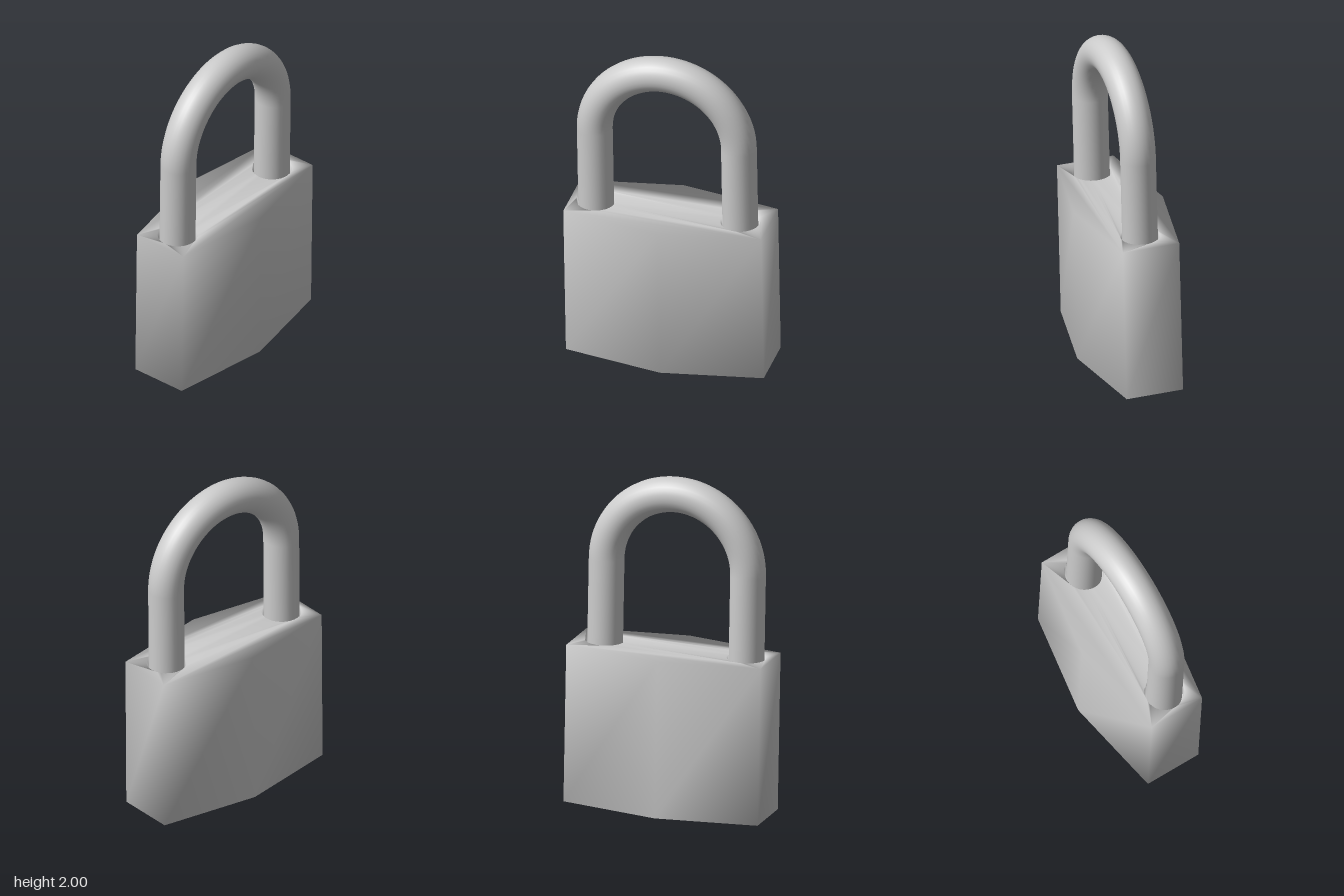
import * as THREE from 'three';
import { mergeGeometries, mergeVertices } from 'three/addons/utils/BufferGeometryUtils.js';

const H = 0.95;                       // body height
const HALF_SPAN = 0.435;              // half distance between the shackle legs
const BAR = 0.104;                    // shackle bar radius
const OFF_X = -0.012, OFF_Z = 0.009;  // shackle offset on the body
const SPRING = 1.449;                 // height where the arch begins

// Circle of (x, z) points
function ring(cx, cz, r, n) {
  return Array.from({ length: n }, (_, i) => {
    const a = (i / n) * Math.PI * 2;
    return new THREE.Vector2(cx + r * Math.cos(a), cz + r * Math.sin(a));
  });
}

// Flat horizontal face at height y, facing up or down
function cap(points, holes, y, up) {
  const s = up ? -1 : 1;
  const flip = (pts) => pts.map((p) => new THREE.Vector2(p.x, s * p.y));
  const shape = new THREE.Shape(flip(points));
  holes.forEach((h) => shape.holes.push(new THREE.Path(flip(h))));
  return new THREE.ShapeGeometry(shape).rotateX((s * Math.PI) / 2).translate(0, y, 0);
}

// Vertical wall around an outline, facing outward or inward
function wall(points, y0, y1, outward) {
  const pos = [], index = [], n = points.length;
  points.forEach((p, i) => {
    pos.push(p.x, y0, p.y, p.x, y1, p.y);
    const a = 2 * i, b = a + 1, c = 2 * ((i + 1) % n), d = c + 1;
    if (outward) index.push(a, b, c, c, b, d);
    else index.push(a, c, b, c, d, b);
  });
  const g = new THREE.BufferGeometry();
  g.setAttribute('position', new THREE.Float32BufferAttribute(pos, 3));
  g.setIndex(index);
  return g;
}

export function createModel() {
  const material = new THREE.MeshStandardMaterial({ color: 0xcccccc });
  const model = new THREE.Group();
  model.name = 'padlock';
  const add = (name, geometry) => {
    const mesh = new THREE.Mesh(geometry, material);
    mesh.name = name;
    model.add(mesh);
  };

  // Six-sided body with two leg sockets on top and a lock recess below
  const outline = [[0.597, 0.172], [0, 0.273], [-0.597, 0.172], [-0.597, -0.172], [0, -0.273], [0.597, -0.172]]
    .map(([x, z]) => new THREE.Vector2(x, z));
  const sockets = [-1, 1].map((s) => ring(OFF_X + s * HALF_SPAN, OFF_Z, 0.116, 32));
  const recess = ring(0, 0, 0.155, 32);
  const socketFloor = H - 0.06, recessRoof = 0.05;
  const faces = [
    wall(outline, 0, H, true),
    cap(outline, sockets, H, true),
    cap(outline, [recess], 0, false),
    wall(recess, 0, recessRoof, false),
    cap(recess, [], recessRoof, false),
  ];
  sockets.forEach((s) => faces.push(wall(s, socketFloor, H, false), cap(s, [], socketFloor, true)));
  faces.forEach((g) => { g.deleteAttribute('normal'); g.deleteAttribute('uv'); });
  // Shared corners give the soft shading across the whole body
  const body = mergeVertices(mergeGeometries(faces), 1e-4);
  body.computeVertexNormals();
  add('body', body);

  // Shackle: half-ring arch on two straight legs
  const legLength = SPRING - socketFloor;
  const parts = [new THREE.TorusGeometry(HALF_SPAN, BAR, 28, 48, Math.PI).translate(OFF_X, SPRING, OFF_Z)];
  for (const s of [-1, 1]) {
    parts.push(new THREE.CylinderGeometry(BAR, BAR, legLength, 28, 1, true)
      .rotateY(Math.PI / 2)
      .translate(OFF_X + s * HALF_SPAN, SPRING - legLength / 2, OFF_Z));
  }
  add('shackle', mergeGeometries(parts));

  // Lock cylinder with a stepped keyway
  const plug = new THREE.Shape(ring(0, 0, 0.152, 32));
  const keyway = [[0.142, -0.014], [0.142, 0.014], [0.03, 0.014], [0.03, 0.004], [-0.085, 0.004],
    [-0.085, -0.008], [0.02, -0.008], [0.02, -0.014]]
    .map(([x, z]) => new THREE.Vector2(x, z).rotateAround(new THREE.Vector2(), 0.47));
  plug.holes.push(new THREE.Path(keyway));
  add('lockCylinder', new THREE.ExtrudeGeometry(plug, { depth: 0.044, bevelEnabled: false })
    .rotateX(Math.PI / 2).translate(0, recessRoof, 0));

  // The padlock leans very slightly
  model.rotation.set(0.021, 0.003, 0.0105);
  model.position.set(0.004, 0.012, -0.008);
  const root = new THREE.Group();
  root.add(model);
  return root;
}
